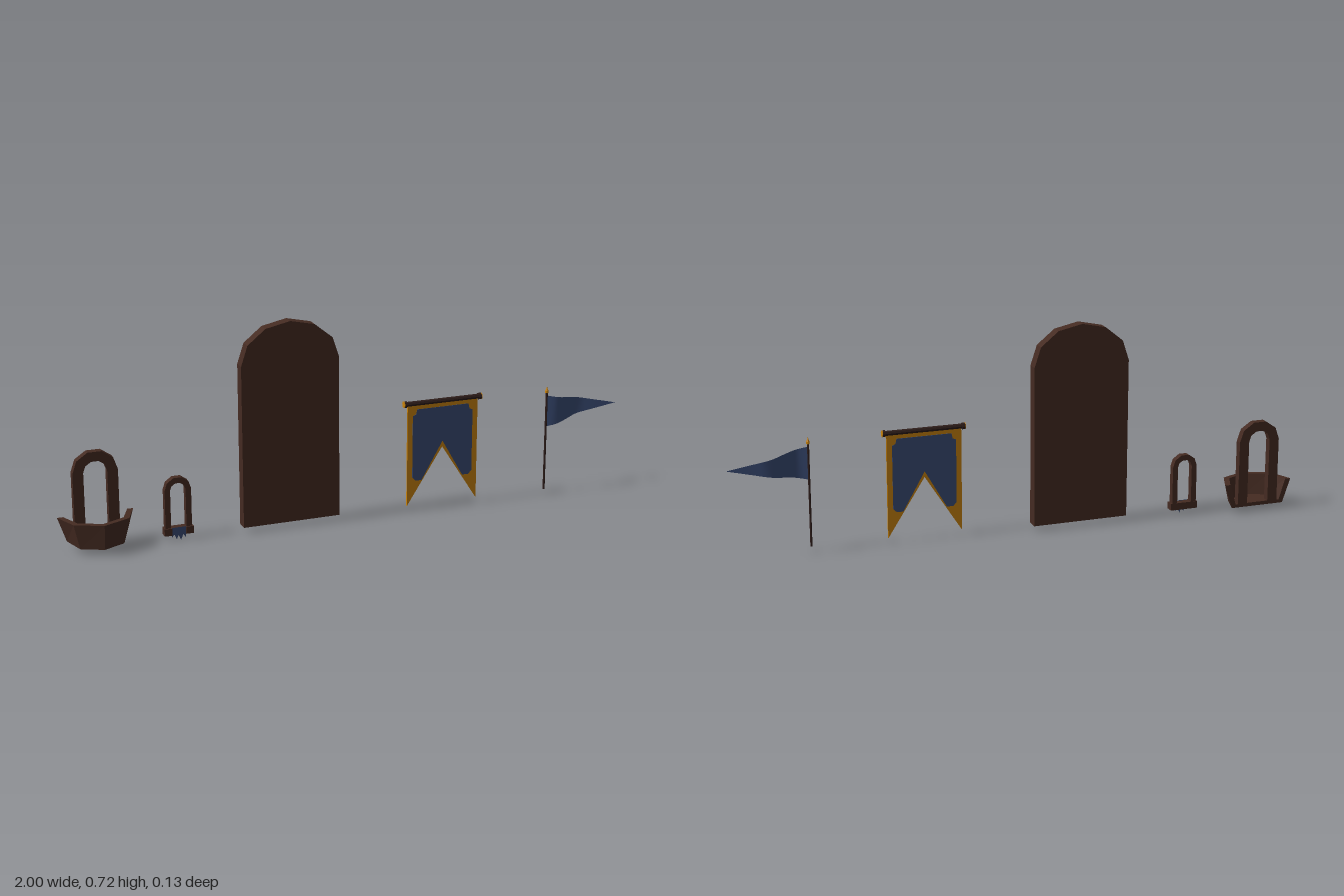
import * as THREE from 'three';

const mat = (name, color, opts = {}) =>
  Object.assign(new THREE.MeshStandardMaterial({ color, ...opts }), { name });

export function createModel() {
  const wood = mat('brown wood', 0x452b22, { flatShading: true, side: THREE.DoubleSide });
  const dark = mat('dark wood', 0x2e1d1a, { flatShading: true });
  const gold = mat('gold', 0xc9830c, { flatShading: true });
  const blue = mat('blue cloth', 0x3a4c75, { side: THREE.DoubleSide });

  const model = new THREE.Group();
  const add = (parent, name, geo, material, x = 0, y = 0, z = 0) => {
    const mesh = new THREE.Mesh(geo, material);
    mesh.name = name;
    mesh.position.set(x, y, z);
    parent.add(mesh);
    return mesh;
  };
  const group = (name, x, z = 0) => {
    const g = new THREE.Group();
    g.name = name;
    g.position.set(x, 0, z);
    model.add(g);
    return g;
  };
  const points = (list) => list.map(([x, y]) => new THREE.Vector2(x, y));
  const extrude = (shape, z0, z1) =>
    new THREE.ExtrudeGeometry(shape, { depth: z1 - z0, bevelEnabled: false }).translate(0, 0, z0);

  // Faceted arch outline: straight legs below, an elliptical top of n facets
  const arch = (half, bottom, spring, rise, n) => {
    const list = [[-half, bottom], [half, bottom]];
    for (let i = 0; i <= n; i++) {
      const a = (i / n) * Math.PI;
      list.push([half * Math.cos(a), spring + rise * Math.sin(a)]);
    }
    return list;
  };
  const archFrame = (outer, inner, z0, z1) => {
    const shape = new THREE.Shape(points(outer));
    shape.holes.push(new THREE.Path(points(inner)));
    return extrude(shape, z0, z1);
  };

  // Balcony: open-backed tray lofted through four five-point rings
  const balcony = group('balconyWindow', -0.8715);
  const ring = (y, backX, sideX, sideZ, frontZ) =>
    [[-backX, y, -0.063], [-sideX, y, sideZ], [0, y, frontZ], [sideX, y, sideZ], [backX, y, -0.063]];
  const rings = [
    ring(0.02, 0.099, 0.074, 0.02, 0.055),
    ring(0.107, 0.1285, 0.093, 0.023, 0.065),
    ring(0.107, 0.108, 0.077, 0.01, 0.045),
    ring(0.032, 0.085, 0.064, 0.004, 0.035),
  ];
  const pos = [];
  const tri = (a, b, c) => pos.push(...a, ...b, ...c);
  const quad = (a, b, c, d) => { tri(a, b, c); tri(a, c, d); };
  for (let r = 0; r < 3; r++)
    for (let i = 0; i < 4; i++)
      quad(rings[r][i], rings[r][i + 1], rings[r + 1][i + 1], rings[r + 1][i]);
  for (let i = 1; i < 4; i++) {
    tri(rings[0][0], rings[0][i + 1], rings[0][i]);
    tri(rings[3][0], rings[3][i], rings[3][i + 1]);
  }
  quad(rings[0][0], rings[1][0], rings[2][0], rings[3][0]);
  quad(rings[0][4], rings[3][4], rings[2][4], rings[1][4]);
  quad(rings[0][4], rings[0][0], rings[3][0], rings[3][4]);
  const tray = new THREE.BufferGeometry();
  tray.setAttribute('position', new THREE.Float32BufferAttribute(pos, 3));
  tray.computeVertexNormals();
  add(balcony, 'balconyTray', tray, wood);
  add(balcony, 'balconyArch', archFrame(
    arch(0.076, 0.021, 0.26, 0.0715, 5), arch(0.04, 0.033, 0.26, 0.037, 5), -0.063, -0.037), wood);

  // Small window with a notched sill and a ragged cloth
  const small = group('smallWindow', -0.6075);
  add(small, 'windowArch', archFrame(
    arch(0.0455, 0.03, 0.178, 0.044, 5), arch(0.0265, 0.045, 0.178, 0.024, 5), -0.015, 0.008), wood);
  add(small, 'windowSill', new THREE.BoxGeometry(0.101, 0.025, 0.016), wood, 0, 0.0325, -0.008);
  for (const s of [-1, 1])
    add(small, 'sillBlock', new THREE.BoxGeometry(0.026, 0.025, 0.013), wood, s * 0.0375, 0.0325, 0.0065);
  add(small, 'sillCloth', new THREE.ShapeGeometry(new THREE.Shape(points([
    [-0.025, 0.046], [-0.025, 0.012], [-0.016, 0.022], [-0.009, 0.004], [-0.002, 0.018],
    [0.006, 0], [0.014, 0.02], [0.022, 0.008], [0.025, 0.046]]))), blue, 0, 0, 0.0095);

  // Arched door
  const door = group('door', -0.2165);
  add(door, 'doorPanel', extrude(
    new THREE.Shape(points(arch(0.1715, 0.02, 0.583, 0.139, 6))), -0.01, 0.031), wood);

  // Swallowtail banner: gold backing, blue field on both faces
  const banner = group('hangingBanner', 0.332, 0.039);
  add(banner, 'bannerBorder', extrude(new THREE.Shape(points([
    [-0.131, 0.386], [-0.131, 0.022], [0, 0.226], [0.131, 0.022], [0.131, 0.386]])), -0.003, 0.003), gold);
  const field = new THREE.Shape(points([
    [-0.096, 0.37], [-0.1, 0.352], [-0.112, 0.347], [-0.112, 0.125], [-0.1, 0.112], [-0.077, 0.112],
    [0, 0.246],
    [0.077, 0.112], [0.1, 0.112], [0.112, 0.125], [0.112, 0.347], [0.1, 0.352], [0.096, 0.37]]));
  add(banner, 'bannerField', extrude(field, -0.0042, 0.0042), blue);
  add(banner, 'bannerRod', new THREE.CylinderGeometry(0.009, 0.009, 0.285, 8).rotateZ(Math.PI / 2),
    dark, 0, 0.391, 0);
  for (const s of [-1, 1]) {
    add(banner, 'rodKnob', new THREE.CylinderGeometry(0.012, 0.012, 0.009, 8).rotateZ(Math.PI / 2),
      dark, s * 0.139, 0.391, 0);
    add(banner, 'rodCap', new THREE.CylinderGeometry(0.012, 0.012, 0.002, 8).rotateZ(Math.PI / 2),
      gold, s * 0.1445, 0.391, 0);
  }

  // Pennant: pole, finial and a waving triangle of cloth
  const pennant = group('pennant', 0.725, 0.052);
  add(pennant, 'pole', new THREE.CylinderGeometry(0.0038, 0.0038, 0.36, 6), dark, 0, 0.2, 0);
  add(pennant, 'finial', new THREE.LatheGeometry(points([
    [0, 0.376], [0.006, 0.378], [0.006, 0.386], [0.004, 0.39], [0, 0.401]]), 6), gold);
  const wave = new THREE.CatmullRomCurve3([
    [0, 0], [0.04, 0.008], [0.085, -0.006], [0.13, -0.022], [0.19, -0.014], [0.275, -0.001],
  ].map(([x, z]) => new THREE.Vector3(x, 0, z)));
  const cloth = new THREE.PlaneGeometry(1, 1, 14, 1);
  const p = cloth.attributes.position;
  for (let i = 0; i < p.count; i++) {
    const t = p.getX(i) + 0.5;
    const c = wave.getPoint(t);
    const k = c.x / 0.275;
    const y = p.getY(i) > 0 ? 0.368 - 0.056 * k : 0.254 + 0.058 * k;
    p.setXYZ(i, c.x, y, c.z);
  }
  cloth.computeVertexNormals();
  add(pennant, 'pennantCloth', cloth, blue);

  return model;
}
